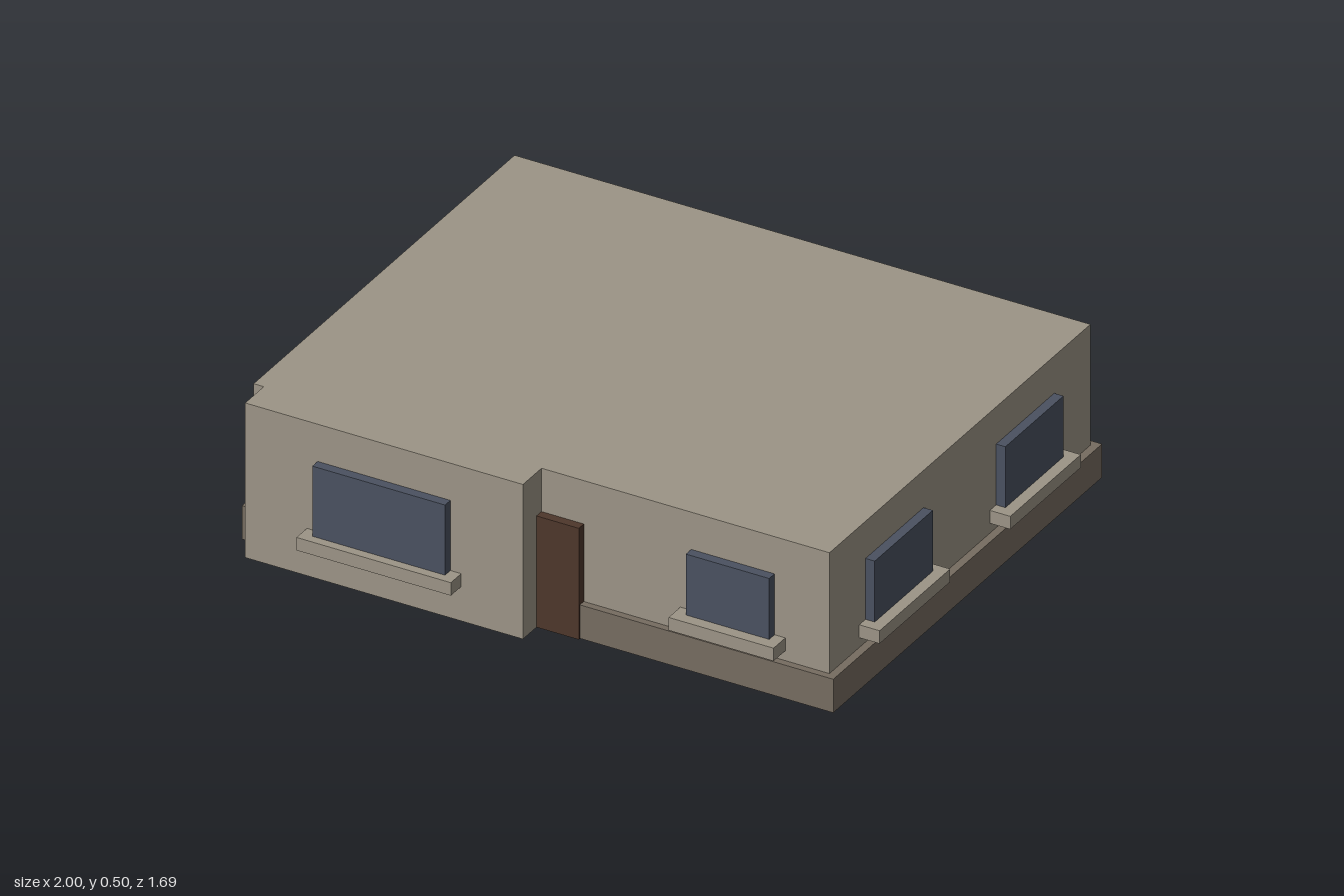
import * as THREE from 'three';

const mat = (name, color) => Object.assign(new THREE.MeshStandardMaterial({ color }), { name });

export function createModel() {
  const house = new THREE.Group();
  house.name = 'house';
  const wall = mat('wallStone', 0x9c9486);
  const base = mat('plinthBrown', 0x766c60);
  const glass = mat('windowGlass', 0x4a5160);
  const wood = mat('doorWood', 0x4e372b);

  // Box given by its limits on each axis
  const box = (name, material, [x0, x1], [y0, y1], [z0, z1], parent = house) => {
    const mesh = new THREE.Mesh(new THREE.BoxGeometry(x1 - x0, y1 - y0, z1 - z0), material);
    mesh.position.set((x0 + x1) / 2, (y0 + y1) / 2, (z0 + z1) / 2);
    mesh.name = name;
    parent.add(mesh);
  };

  // Main volume on its plinth, with the projecting front bay
  box('plinth', base, [-0.958, 0.958], [0.001, 0.11], [-0.802, 0.702]);
  box('mainWalls', wall, [-0.933, 0.933], [0.05, 0.503], [-0.78, 0.68]);
  box('frontBay', wall, [-0.9, 0], [0, 0.503], [0.3, 0.784]);
  box('door', wood, [0, 0.137], [0, 0.362], [0.66, 0.708]);

  // Window facing +z in its own frame: projecting pane and a wider sill
  const addWindow = (name, x, z, angle, width = 0.27, y = 0.163, sillDepth = 0.066) => {
    const group = new THREE.Group();
    group.name = name;
    group.position.set(x, y, z);
    group.rotation.y = angle;
    const w = width / 2, s = w + 0.035;
    box('pane', glass, [-w, w], [0, 0.382 - y], [-0.02, 0.03], group);
    box('sill', wall, [-s, s], [-0.021, 0.021], [-0.02, sillDepth], group);
    house.add(group);
  };

  addWindow('bayWindow', -0.45, 0.784, 0, 0.43, 0.133, 0.058);
  addWindow('frontWindow', 0.62, 0.68, 0);
  for (const x of [-0.625, 0, 0.62]) addWindow('backWindow', x, -0.78, Math.PI);
  for (const side of [-1, 1])
    for (const z of [-0.415, 0.316])
      addWindow('sideWindow', side * 0.933, z, side * Math.PI / 2, 0.325);

  return house;
}
